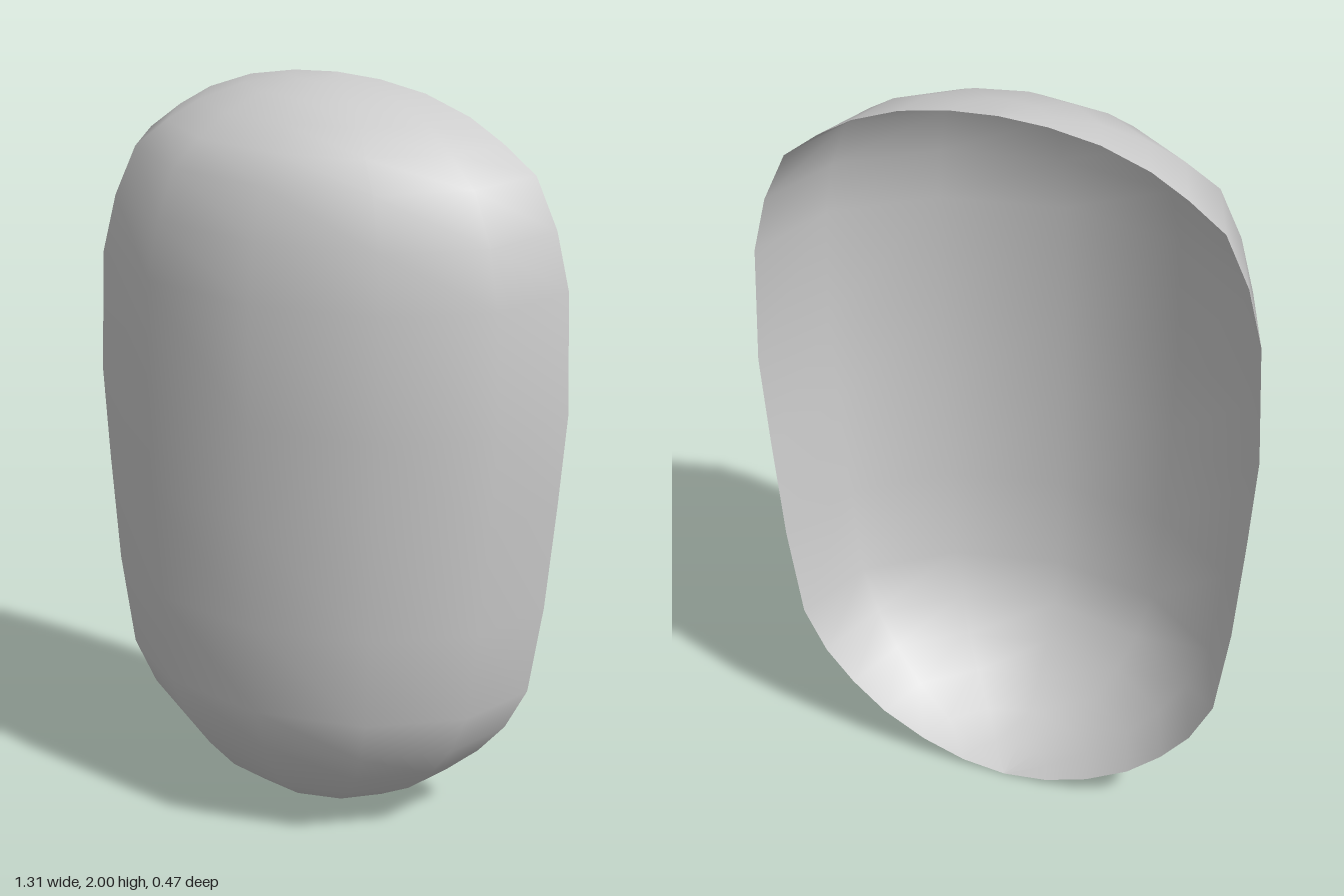
import * as THREE from 'three';

// Profile rows from bottom to top: half width, height, depth in front of the open back
const ROWS = [
  [0, 0, 0], [0.12, 0.015, 0.11], [0.235, 0.055, 0.205], [0.35, 0.12, 0.285],
  [0.44, 0.2, 0.345], [0.515, 0.29, 0.4], [0.575, 0.41, 0.44], [0.612, 0.66, 0.463],
  [0.637, 0.95, 0.468], [0.655, 1.2, 0.47], [0.642, 1.52, 0.463], [0.605, 1.67, 0.435],
  [0.545, 1.8, 0.4], [0.455, 1.87, 0.343], [0.365, 1.925, 0.275], [0.245, 1.97, 0.195],
  [0.12, 1.993, 0.1], [0, 2, 0],
];
const BACK = -0.235;

export function createModel() {
  const group = new THREE.Group();
  group.name = 'shell';

  // Half lathe, open at the back, with each row flattened to its own depth
  const profile = ROWS.map(([w, y]) => new THREE.Vector2(w, y));
  const geometry = new THREE.LatheGeometry(profile, 6, -Math.PI / 2, Math.PI);
  const position = geometry.attributes.position;
  for (let i = 0; i < position.count; i++) {
    const [w, , depth] = ROWS[i % ROWS.length];
    const z = w > 0 ? (position.getZ(i) / w) * depth : 0;
    position.setZ(i, BACK + z);
  }
  geometry.computeVertexNormals();

  const material = new THREE.MeshStandardMaterial({ color: 0xcccccc, side: THREE.DoubleSide });
  const shell = new THREE.Mesh(geometry, material);
  shell.name = 'curvedShell';
  group.add(shell);
  return group;
}
